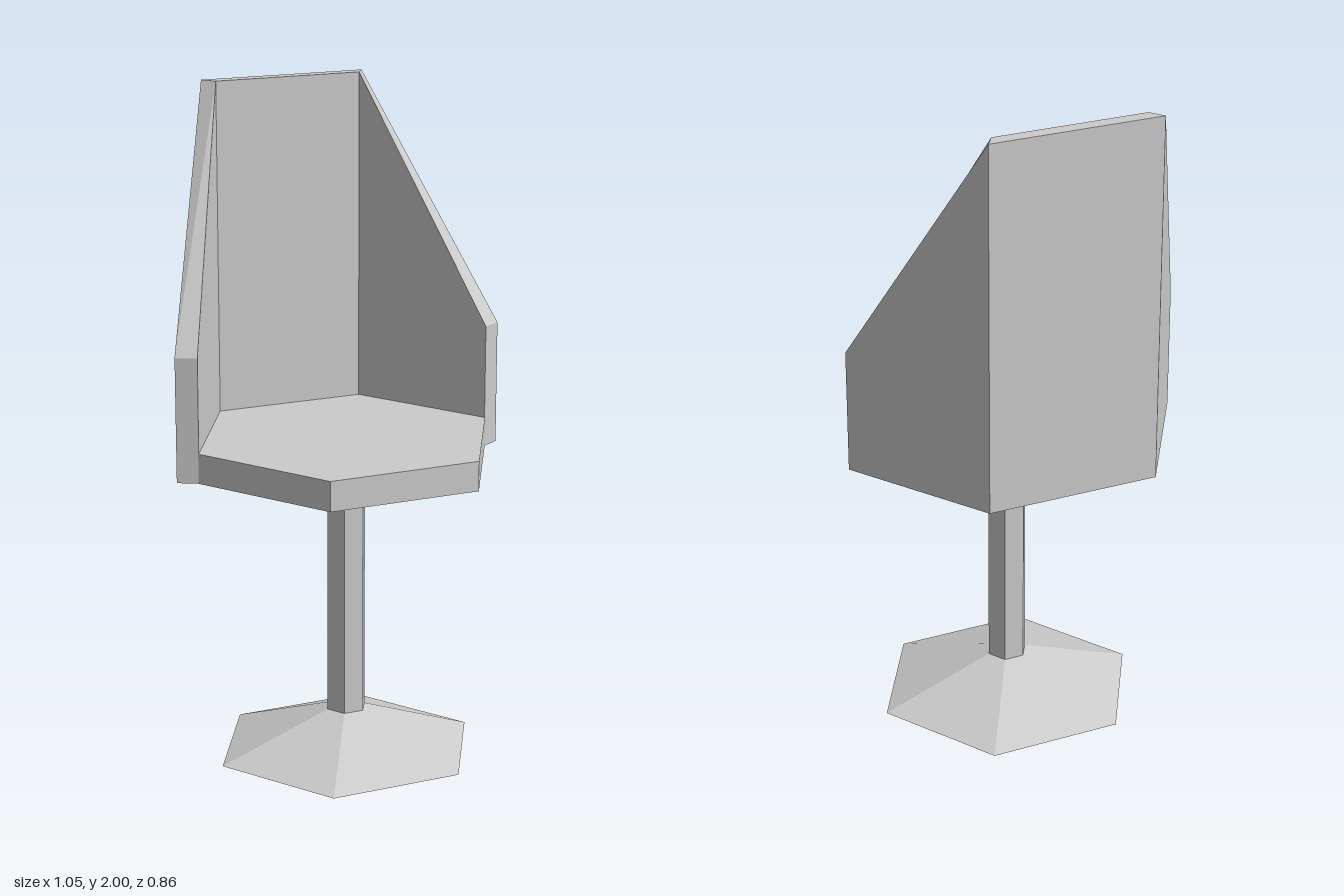
import * as THREE from 'three';

const material = new THREE.MeshStandardMaterial({ color: 0xcccccc, flatShading: true });

// Six-sided prism or frustum with corners on the x axis
function hexPart(name, rTop, rBottom, y0, y1, z) {
  const geo = new THREE.CylinderGeometry(rTop, rBottom, y1 - y0, 6, 1, false, Math.PI / 2);
  const mesh = new THREE.Mesh(geo, material);
  mesh.name = name;
  mesh.position.set(0, (y0 + y1) / 2, z);
  return mesh;
}

// Three-panel wrap-around back, swept through four corner sections
function backrestShell() {
  const bottom = 0.895;
  const stations = [
    { outer: [-0.525, -0.012], inner: [-0.468, 0.021], top: 1.27 },
    { outer: [-0.264, -0.43], inner: [-0.235, -0.385], top: 2 },
    { outer: [0.264, -0.43], inner: [0.235, -0.385], top: 2 },
    { outer: [0.525, -0.012], inner: [0.468, 0.021], top: 1.27 },
  ];
  const positions = [];
  for (const { outer: o, inner: n, top } of stations) {
    positions.push(o[0], bottom, o[1], o[0], top, o[1], n[0], top, n[1], n[0], bottom, n[1]);
  }
  const index = [];
  const quad = (a, b, c, d) => index.push(a, b, c, a, c, d);
  for (let i = 0; i < 3; i++) {
    for (let j = 0; j < 4; j++) {
      const k = (j + 1) % 4;
      quad(i * 4 + j, i * 4 + k, i * 4 + 4 + k, i * 4 + 4 + j);
    }
  }
  // Front end faces of the two wings
  quad(0, 3, 2, 1);
  quad(12, 13, 14, 15);

  const indexed = new THREE.BufferGeometry();
  indexed.setAttribute('position', new THREE.Float32BufferAttribute(positions, 3));
  indexed.setIndex(index);
  const geo = indexed.toNonIndexed();
  geo.computeVertexNormals();
  const mesh = new THREE.Mesh(geo, material);
  mesh.name = 'backrest';
  return mesh;
}

export function createModel() {
  const chair = new THREE.Group();
  chair.name = 'chair';
  chair.add(
    hexPart('base', 0.062, 0.41, 0, 0.125, 0.028),
    hexPart('post', 0.062, 0.062, 0.125, 0.895, 0.028),
    hexPart('seat', 0.47, 0.47, 0.895, 0.985, 0.021),
    backrestShell(),
  );
  return chair;
}
